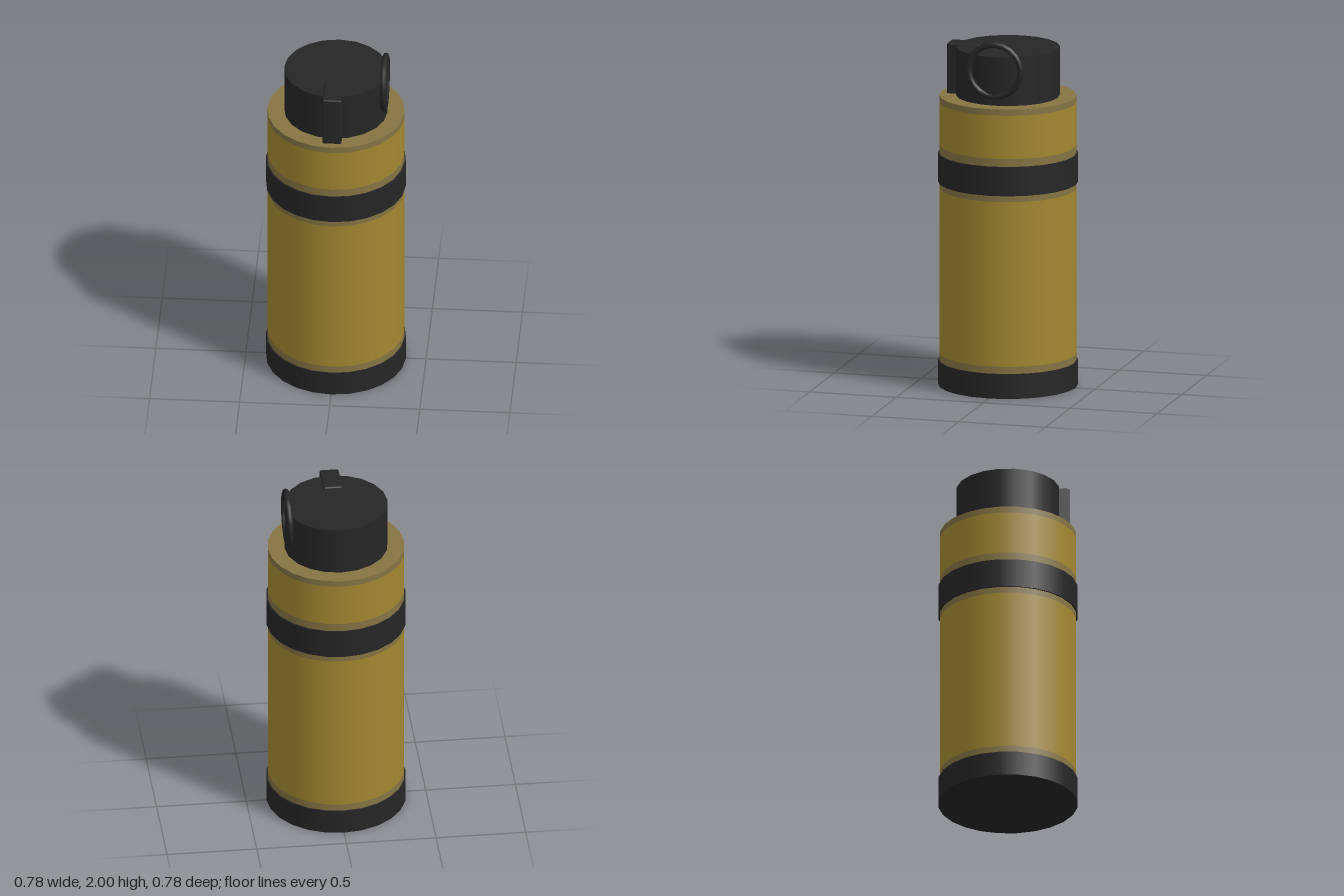
import * as THREE from 'three';
import { RoundedBoxGeometry } from 'three/addons/geometries/RoundedBoxGeometry.js';

const paint = (name, color) => {
  const m = new THREE.MeshStandardMaterial({ color });
  m.name = name;
  return m;
};

export function createModel() {
  const gold = paint('goldPaint', 0xa38831);
  const worn = paint('wornPaint', 0x857443);
  const black = paint('blackMetal', 0x262626);
  const group = new THREE.Group();
  group.name = 'canister';

  const add = (name, geometry, material, x = 0, y = 0, z = 0) => {
    const mesh = new THREE.Mesh(geometry, material);
    mesh.name = name;
    mesh.position.set(x, y, z);
    group.add(mesh);
    return mesh;
  };
  // Upright cylinder between two heights
  const drum = (name, r, y0, y1, sides, material, open = false) =>
    add(name, new THREE.CylinderGeometry(r, r, y1 - y0, sides, 1, open), material, 0, (y0 + y1) / 2);

  // Painted body, with worn strips beside the black bands and the rim
  const strips = [
    ['lowerWear', 0.14, 0.18, worn],
    ['lowerBody', 0.18, 1.115, gold],
    ['underBandWear', 1.115, 1.15, worn],
    ['overBandWear', 1.315, 1.36, worn],
    ['upperBody', 1.36, 1.605, gold],
    ['rimWear', 1.605, 1.64, worn],
  ];
  for (const [name, y0, y1, material] of strips) drum(name, 0.38, y0, y1, 24, material, true);
  add('shoulder', new THREE.RingGeometry(0.27, 0.38, 24), worn, 0, 1.64).rotation.x = -Math.PI / 2;

  // Black base, band and cap
  drum('base', 0.388, 0, 0.14, 24, black);
  drum('band', 0.388, 1.15, 1.315, 24, black);
  drum('cap', 0.287, 1.63, 1.915, 20, black);

  // Safety lever: plate over the cap edge and arm down its front
  add('leverPlate', new RoundedBoxGeometry(0.106, 0.05, 0.191, 2, 0.01), black, 0, 1.9, 0.2425);
  add('leverArm', new RoundedBoxGeometry(0.106, 0.295, 0.08, 2, 0.01), black, 0, 1.7775, 0.298);

  // Pull ring on the left side
  add('pullRing', new THREE.TorusGeometry(0.148, 0.0175, 8, 20), black, 0.272, 1.835).rotation.y = Math.PI / 2;

  return group;
}
